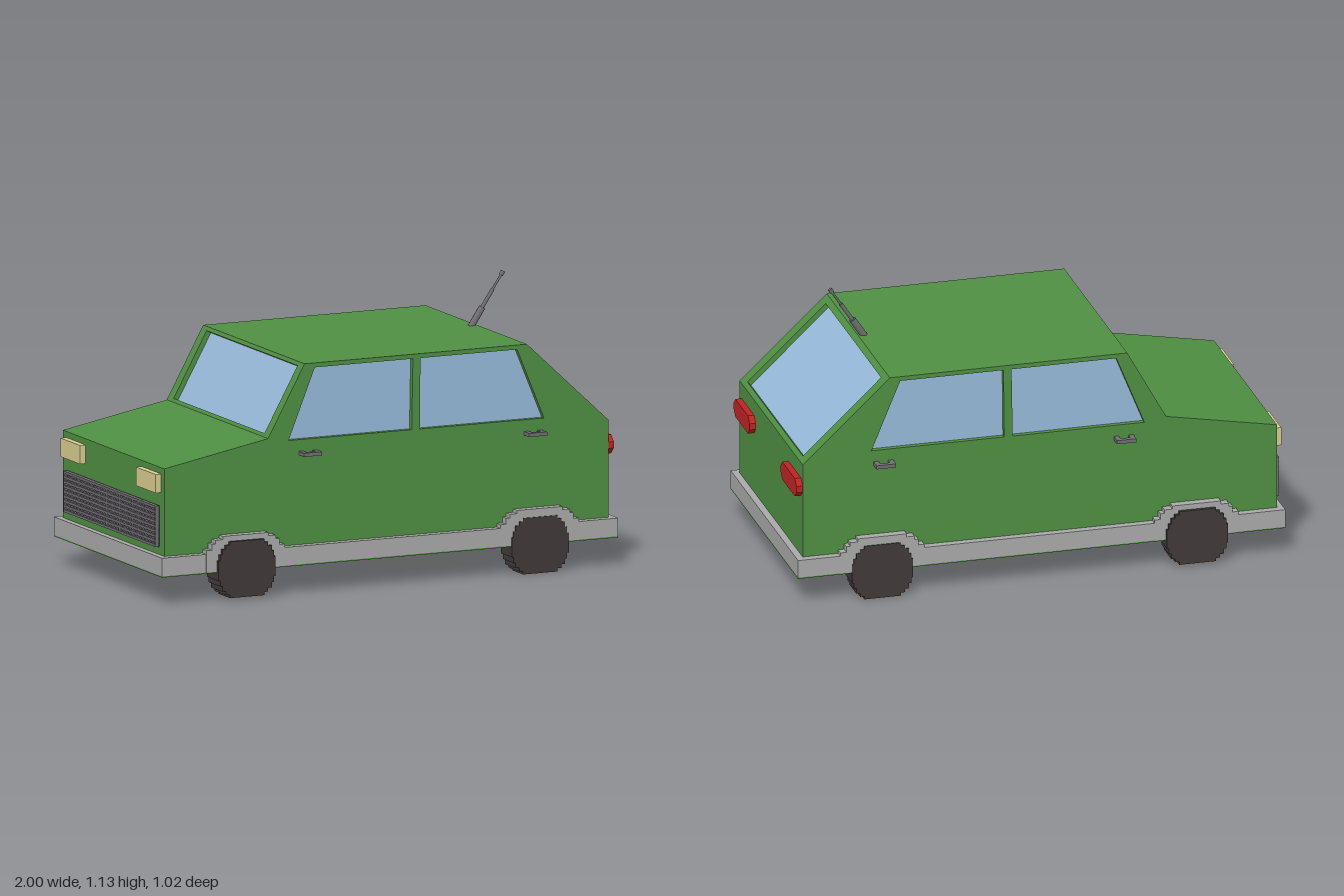
import * as THREE from 'three';

const mat = (name, color) => {
  const m = new THREE.MeshStandardMaterial({ color });
  m.name = name;
  return m;
};

const HALF = 0.463;   // half width of the body
const SKIN = 0.025;   // depth of the window recesses
const V = (x, y) => new THREE.Vector2(x, y);

export function createModel() {
  const car = new THREE.Group();
  car.name = 'car';
  const paint = mat('green paint', 0x4f8f42);
  const glass = mat('window glass', 0x97badb);
  const trim = mat('grey trim', 0xa9a9a9);
  const rubber = mat('tyre rubber', 0x403939);
  const metal = mat('dark metal', 0x716e74);
  const mesh = mat('grille backing', 0x3c3c42);
  const red = mat('tail light red', 0xc02323);
  const cream = mat('headlight cream', 0xd8cd90);

  const add = (name, geo, material, x = 0, y = 0, z = 0, parent = car) => {
    const m = new THREE.Mesh(geo, material);
    m.name = name;
    m.position.set(x, y, z);
    parent.add(m);
    return m;
  };
  // box given by its limits
  const box = (name, material, x0, x1, y0, y1, z0, z1, parent = car) =>
    add(name, new THREE.BoxGeometry(x1 - x0, y1 - y0, z1 - z0), material,
      (x0 + x1) / 2, (y0 + y1) / 2, (z0 + z1) / 2, parent);
  const slab = (points, depth, holes = []) => {
    const s = new THREE.Shape(points);
    for (const h of holes) s.holes.push(new THREE.Path(h));
    return new THREE.ExtrudeGeometry(s, { depth, bevelEnabled: false });
  };
  const rect = (x0, x1, y0, y1) => [V(x0, y0), V(x1, y0), V(x1, y1), V(x0, y1)];

  // Body outline, nose at -x
  const noseLow = V(-0.975, 0.13), noseTop = V(-0.975, 0.545);
  const cowl = V(-0.52, 0.63), roofFront = V(-0.36, 0.918);
  const roofRear = V(0.615, 0.918), tailTop = V(0.972, 0.585), tailLow = V(0.972, 0.13);
  const slopes = [
    { name: 'windshield', low: cowl, high: roofFront, u0: 0.015, u1: 0.313, w: 0.415 },
    { name: 'rearWindow', low: tailTop, high: roofRear, u0: 0.022, u1: 0.461, w: 0.406 },
  ];
  for (const s of slopes) {
    s.up = s.high.clone().sub(s.low).normalize();
    s.n = s.low === cowl ? V(-s.up.y, s.up.x) : V(s.up.y, -s.up.x);
    s.inLow = s.low.clone().addScaledVector(s.n, -SKIN);
    s.inHigh = s.high.clone().addScaledVector(s.n, -SKIN);
  }
  const [ws, rw] = slopes;

  // Inner body, sunk behind both sloped windows
  const inner = HALF - SKIN;
  add('bodyCore', slab([noseLow, tailLow, tailTop, rw.inLow, rw.inHigh, roofRear,
    roofFront, ws.inHigh, ws.inLow, cowl, noseTop], inner * 2), paint, 0, 0, -inner);

  // Sloped frames with their panes
  for (const s of slopes) {
    const g = new THREE.Group();
    g.name = s.name;
    const up = new THREE.Vector3(s.up.x, s.up.y, 0);
    const n = new THREE.Vector3(s.n.x, s.n.y, 0);
    g.quaternion.setFromRotationMatrix(
      new THREE.Matrix4().makeBasis(up.clone().cross(n), up, n));
    g.position.set(s.inLow.x, s.inLow.y, 0);
    car.add(g);
    const opening = rect(-s.w, s.w, s.u0, s.u1);
    add(s.name + 'Frame', slab(rect(-inner, inner, 0, s.high.distanceTo(s.low)), SKIN, [opening]),
      paint, 0, 0, 0, g);
    add(s.name + 'Glass', slab(opening, 0.004), glass, 0, 0, 0, g);
  }

  // Side panels with two window openings each
  const sideOutline = [noseLow, tailLow, tailTop, roofRear, roofFront, cowl, noseTop];
  const sideWindows = [
    [V(-0.43, 0.615), V(0.11, 0.615), V(0.115, 0.9), V(-0.315, 0.9)],
    [V(0.145, 0.615), V(0.69, 0.615), V(0.572, 0.9), V(0.148, 0.9)],
  ];
  for (const side of [1, -1]) {
    add('sidePanel', slab(sideOutline, SKIN, sideWindows), paint, 0, 0, side > 0 ? inner : -HALF);
    for (const w of sideWindows)
      add('sideGlass', slab(w, 0.004), glass, 0, 0, side > 0 ? inner : -inner - 0.004);
  }

  // Bumper band and floor
  box('bumperBand', trim, -1, 1, 0.12, 0.193, -0.495, 0.495);
  box('floor', paint, -1, 1, 0.115, 0.12, -0.495, 0.495);

  // Stepped outline from [half width, height] pairs, mirrored in x
  const stepped = (steps) => {
    const right = [];
    steps.forEach(([w, y], i) => {
      right.push(V(w, y));
      if (i < steps.length - 1) right.push(V(w, steps[i + 1][1]));
    });
    return [...right, ...right.map((p) => V(-p.x, p.y)).reverse()];
  };
  const tyre = stepped([[0.075, -0.113], [0.092, -0.1], [0.108, -0.085], [0.118, -0.063],
    [0.125, -0.04], [0.118, 0.04], [0.108, 0.063], [0.092, 0.085], [0.075, 0.1], [0.075, 0.113]]);
  const arch = stepped([[0.172, 0.12], [0.172, 0.193], [0.148, 0.208], [0.132, 0.232],
    [0.1, 0.247], [0.1, 0.26]]);
  for (const [name, x, y, out] of [['front', -0.635, 0.125, 0.512], ['rear', 0.655, 0.114, 0.502]]) {
    for (const side of [1, -1]) {
      add(name + 'Wheel', slab(tyre, out - 0.405), rubber, x, y, side > 0 ? 0.405 : -out);
      add(name + 'Arch', slab(arch, 0.058), trim, x, 0, side > 0 ? 0.44 : -0.498);
    }
  }

  // Door handles: a bar on two stubs
  for (const x of [-0.345, 0.642]) {
    for (const side of [1, -1]) {
      const handle = new THREE.Group();
      handle.name = 'doorHandle';
      car.add(handle);
      const z = (a, b) => (side > 0 ? [a, b] : [-b, -a]);
      box('handleBar', metal, x - 0.04, x + 0.04, 0.553, 0.568, ...z(0.49, 0.51), handle);
      for (const s of [-0.03, 0.03])
        box('handleStub', metal, x + s - 0.01, x + s + 0.01, 0.553, 0.568, ...z(0.46, 0.49), handle);
    }
  }

  // Lights
  const lamp = [V(-0.117, -0.013), V(-0.092, -0.038), V(0.092, -0.038), V(0.117, -0.013),
    V(0.117, 0.013), V(0.092, 0.038), V(-0.092, 0.038), V(-0.117, 0.013)];
  for (const side of [1, -1]) {
    add('tailLight', slab(lamp, 0.027), red, 0.97, 0.482, side * 0.344).rotation.y = Math.PI / 2;
    box('headlight', cream, -1, -0.97, 0.445, 0.52, side * 0.345 - 0.09, side * 0.345 + 0.09);
  }

  // Grille: dark plate behind a lattice of bars
  const grille = new THREE.Group();
  grille.name = 'grille';
  car.add(grille);
  box('grilleBack', mesh, -0.982, -0.97, 0.225, 0.39, -0.42, 0.42, grille);
  for (let i = 0; i <= 8; i++) {
    const y = 0.23 + i * 0.155 / 8;
    box('grilleBar', metal, -0.994, -0.98, y - 0.005, y + 0.005, -0.42, 0.42, grille);
  }
  for (let i = 0; i <= 28; i++) {
    const z = -0.415 + i * 0.83 / 28;
    box('grilleRib', metal, -0.993, -0.98, 0.225, 0.39, z - 0.005, z + 0.005, grille);
  }

  // Telescopic antenna leaning back
  const antenna = new THREE.Group();
  antenna.name = 'antenna';
  antenna.position.set(0.588, 0.913, 0.006);
  antenna.rotation.z = -Math.atan2(0.14, 0.21);
  car.add(antenna);
  for (const [r, a, b] of [[0.014, 0, 0.09], [0.008, 0.09, 0.175], [0.005, 0.175, 0.24], [0.009, 0.238, 0.256]])
    add('antennaSection', new THREE.CylinderGeometry(r, r, b - a, 8), metal, 0, (a + b) / 2, 0, antenna);

  return car;
}
